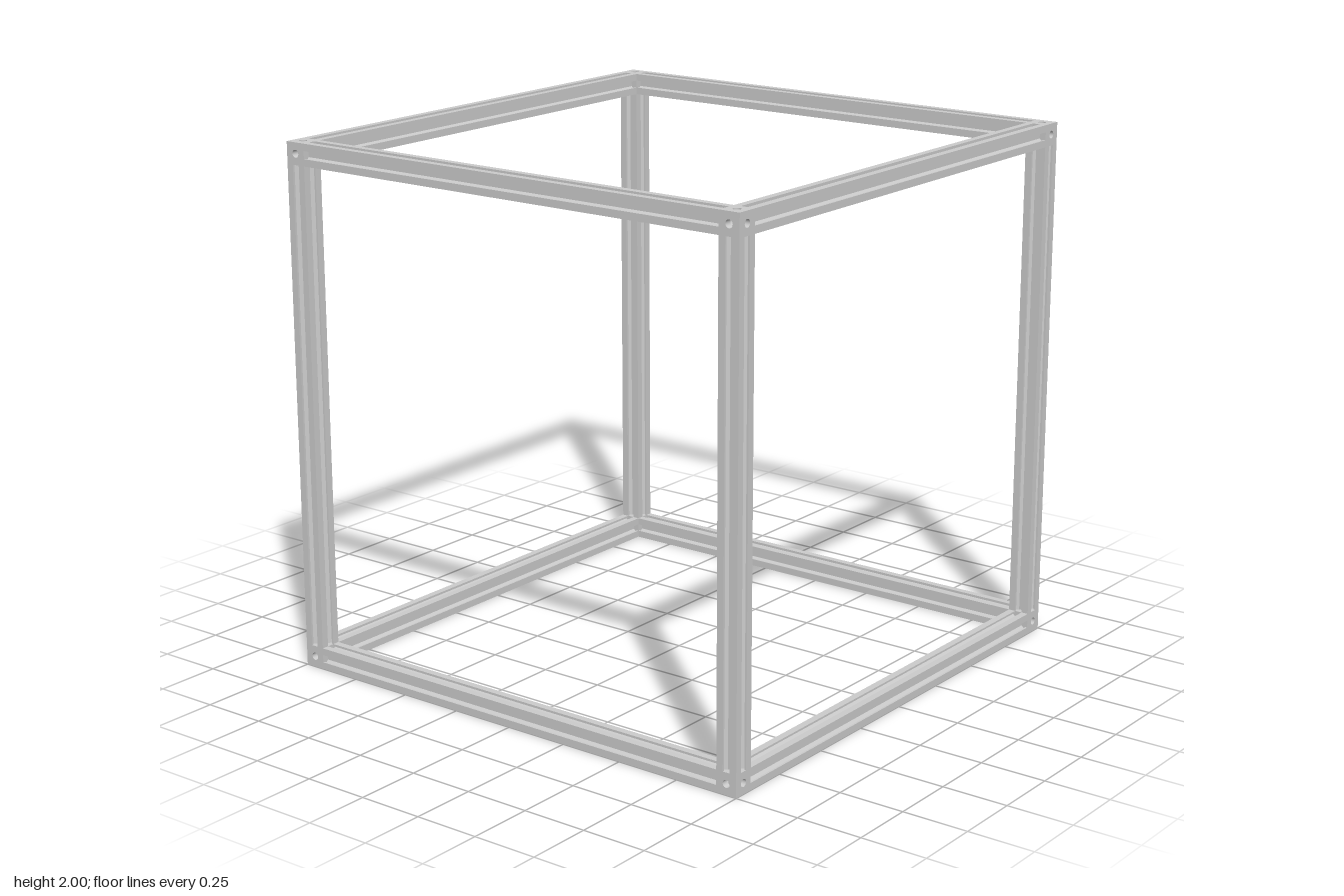
import * as THREE from 'three';
import { mergeGeometries } from 'three/addons/utils/BufferGeometryUtils.js';

const W = 0.083;            // profile width
const H = W / 2;
const C = 1 - H;            // beam axis distance from the cube centre
const LENGTH = 2 - 2 * W;   // beam length between corner blocks

function withBore(shape, r) {
  const hole = new THREE.Path();
  hole.absarc(0, 0, r, 0, Math.PI * 2, true);
  shape.holes.push(hole);
  return shape;
}

// T-slot section: one side's slot repeated around four sides
function beamGeometry() {
  const half = [[H, H], [H, 0.0145], [H - 0.0075, 0.0145], [H - 0.0075, 0.023], [0.0285, 0.023], [0.0165, 0.011]];
  const side = [
    ...half.map(([x, y]) => [x, -y]),
    ...half.slice(1).reverse(),
  ];
  const points = [];
  for (let i = 0; i < 4; i++) {
    for (const [x, y] of side) {
      points.push(new THREE.Vector2(x, y).rotateAround(new THREE.Vector2(), i * Math.PI / 2));
    }
  }
  const shape = withBore(new THREE.Shape(points), 0.0125);
  return new THREE.ExtrudeGeometry(shape, { depth: LENGTH, bevelEnabled: false, curveSegments: 16 })
    .translate(0, 0, -LENGTH / 2);
}

// Corner block: six bored plates, each with a short bore wall behind it
function cornerGeometry() {
  const r = 0.0145;
  const shape = withBore(new THREE.Shape([[-H, -H], [H, -H], [H, H], [-H, H]]
    .map(([x, y]) => new THREE.Vector2(x, y))), r);
  const plate = new THREE.ShapeGeometry(shape, 16).translate(0, 0, H);
  const depth = H - r;
  const wall = new THREE.CylinderGeometry(r, r, depth, 32, 1, true)
    .rotateX(Math.PI / 2)
    .scale(-1, 1, 1)
    .translate(0, 0, H - depth / 2);
  // the mirrored scale turns the faces inward; the normals must follow
  const n = wall.attributes.normal;
  for (let i = 0; i < n.count; i++) n.setXYZ(i, -n.getX(i), -n.getY(i), -n.getZ(i));
  const face = mergeGeometries([plate, wall]);
  const faces = [];
  for (let i = 0; i < 4; i++) faces.push(face.clone().rotateY(i * Math.PI / 2));
  faces.push(face.clone().rotateX(Math.PI / 2), face.clone().rotateX(-Math.PI / 2));
  return mergeGeometries(faces);
}

export function createModel() {
  const model = new THREE.Group();
  model.name = 'cubeFrame';
  const material = new THREE.MeshStandardMaterial({ color: 0xcccccc });
  const boreMaterial = new THREE.MeshStandardMaterial({ color: 0xcccccc, side: THREE.DoubleSide });

  const add = (name, geometry, mat, x, y, z) => {
    const mesh = new THREE.Mesh(geometry, mat);
    mesh.name = name;
    mesh.position.set(x, y + 1, z);
    model.add(mesh);
  };

  // Slotted beams along the three axes
  const depthBeam = beamGeometry();
  const post = depthBeam.clone().rotateX(Math.PI / 2);
  const crossBeam = depthBeam.clone().rotateY(Math.PI / 2);
  const corner = cornerGeometry();

  for (const a of [-C, C]) {
    for (const b of [-C, C]) {
      add('depthBeam', depthBeam, material, a, b, 0);
      add('post', post, material, a, 0, b);
      add('crossBeam', crossBeam, material, 0, a, b);
      // Corner blocks joining the beams
      for (const c of [-C, C]) add('cornerBlock', corner, boreMaterial, a, b, c);
    }
  }
  return model;
}
